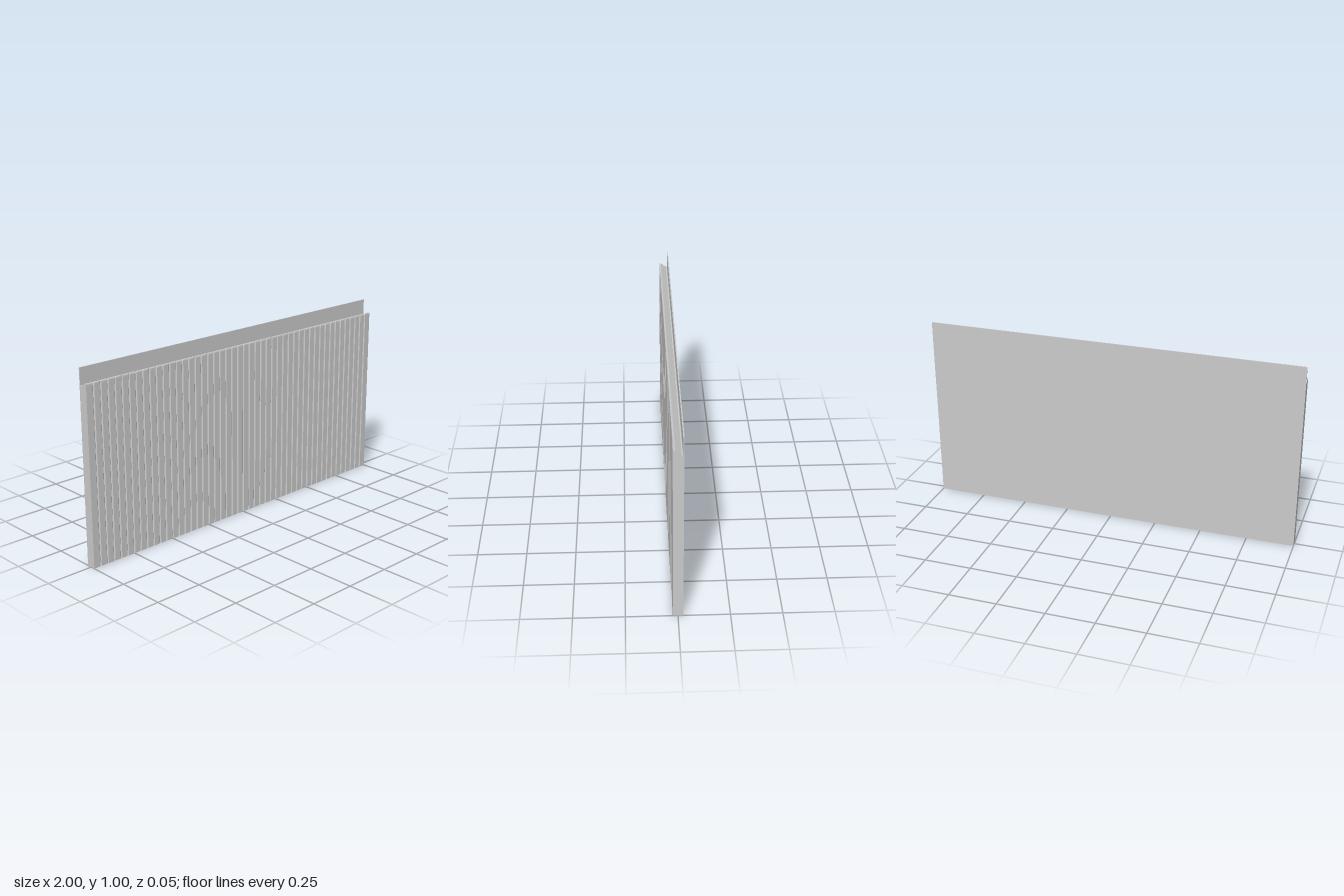
import * as THREE from 'three';

const LENGTH = 2;
const BOARDS = 48;          // narrow vertical boards across the panel
const STEPS_PER_BOARD = 8;
const FRONT = 0.025;
const BACK = -0.025;
const GROOVE_DEPTH = 0.005;

// Side outline of the panel, drawn with z mirrored so it can be turned to run along x
function sideProfile() {
  const s = new THREE.Shape();
  s.moveTo(-FRONT, 0);
  s.lineTo(-BACK, 0);
  s.lineTo(-BACK, 1);                               // tall thin back lip
  s.lineTo(0.0195, 1);
  s.lineTo(0.0195, 0.916);
  s.quadraticCurveTo(0.0195, 0.91, 0.013, 0.911);   // small cove behind the lip
  s.lineTo(-0.015, 0.93);                           // sloping top
  s.quadraticCurveTo(-FRONT, 0.935, -FRONT, 0.922); // rounded front edge
  s.lineTo(-FRONT, 0);
  return s;
}

export function createModel() {
  const group = new THREE.Group();
  group.name = 'groovedPanel';

  const geometry = new THREE.ExtrudeGeometry(sideProfile(), {
    depth: LENGTH,
    steps: BOARDS * STEPS_PER_BOARD,
    bevelEnabled: false,
    curveSegments: 5,
  });
  geometry.rotateY(Math.PI / 2);
  geometry.translate(-LENGTH / 2, 0, 0);

  // Press a fine V groove into the front face at every board joint
  const pos = geometry.attributes.position;
  for (let i = 0; i < pos.count; i++) {
    const step = Math.round(((pos.getX(i) + LENGTH / 2) / LENGTH) * BOARDS * STEPS_PER_BOARD);
    const inside = step > 0 && step < BOARDS * STEPS_PER_BOARD;
    if (inside && step % STEPS_PER_BOARD === 0) {
      pos.setZ(i, Math.min(pos.getZ(i), FRONT - GROOVE_DEPTH));
    }
  }
  geometry.computeVertexNormals();

  const panel = new THREE.Mesh(geometry, new THREE.MeshStandardMaterial({ color: 0xcccccc }));
  panel.name = 'panelBoard';
  group.add(panel);
  return group;
}
